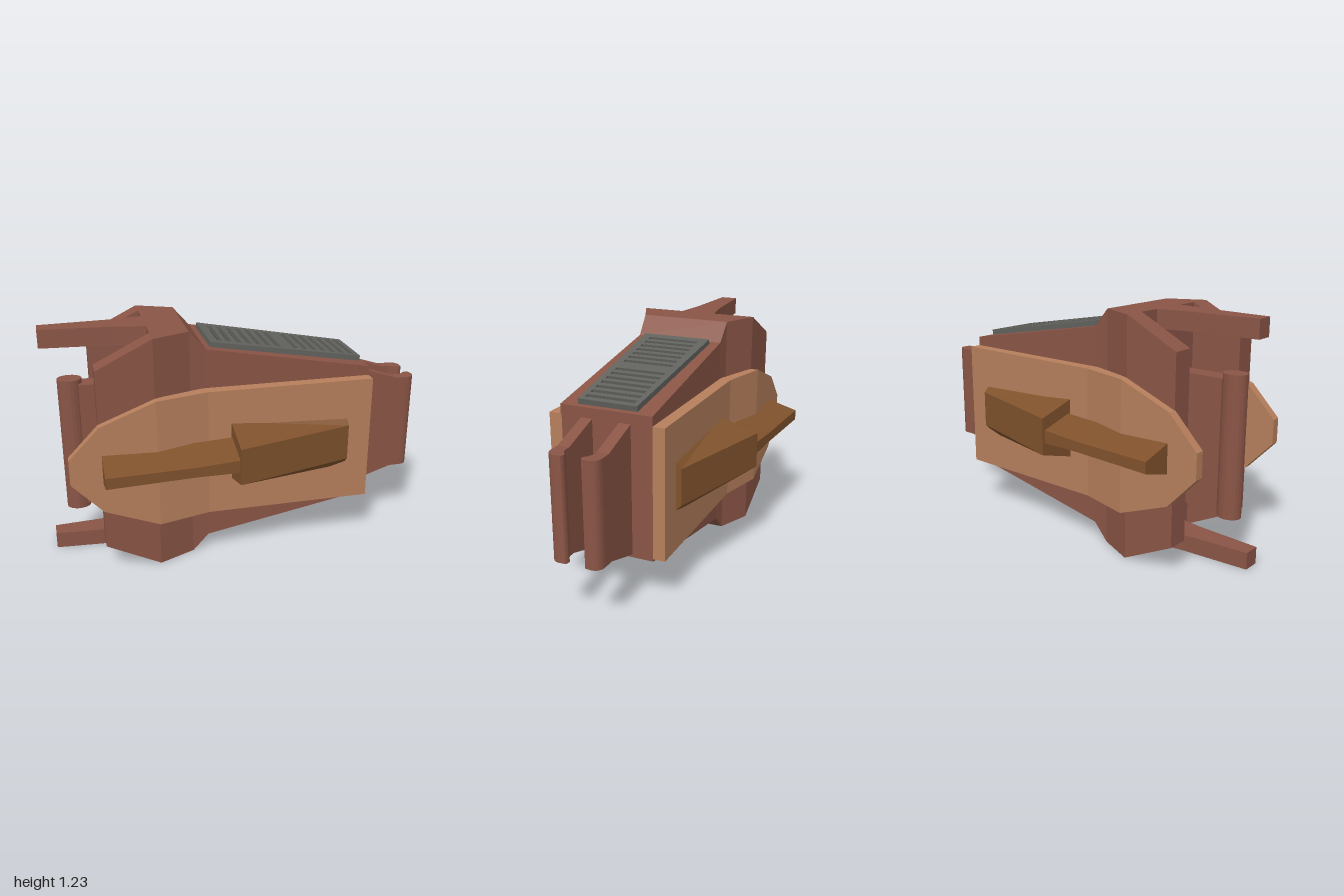
import * as THREE from 'three';

const mat = (color) => new THREE.MeshStandardMaterial({ color, flatShading: true });
const HULL = mat(0x8a5546), PLATE = mat(0xb67f5c), GUN = mat(0x80522c), GRILLE = mat(0x62625e), DARK = mat(0x343432);

// Loft four-cornered sections along +x: [x, y0, y1, z0, z1, inset of y at z1]
function loft(sections) {
  const rings = sections.map(([x, y0, y1, z0, z1, inset = 0]) => [
    [x, y0, z0], [x, y1, z0], [x, y1 - inset, z1], [x, y0 + inset, z1],
  ]);
  const pos = [];
  const quad = (a, b, c, d) => pos.push(...a, ...b, ...c, ...a, ...c, ...d);
  for (let i = 0; i < rings.length - 1; i++) {
    const a = rings[i], b = rings[i + 1];
    for (let k = 0; k < 4; k++) {
      const n = (k + 1) % 4;
      quad(a[k], a[n], b[n], b[k]);
    }
  }
  const s = rings[0], e = rings[rings.length - 1];
  quad(s[0], s[3], s[2], s[1]);
  quad(e[0], e[1], e[2], e[3]);
  const g = new THREE.BufferGeometry();
  g.setAttribute('position', new THREE.Float32BufferAttribute(pos, 3));
  g.computeVertexNormals();
  return g;
}

function add(parent, name, geometry, material) {
  const m = new THREE.Mesh(geometry, material);
  m.name = name;
  parent.add(m);
  return m;
}

// Parts found on both sides, modelled for +z
function buildSide(name) {
  const side = new THREE.Group();
  side.name = name;

  add(side, 'rearCheek', loft([
    [-0.75, 0.14, 1.09, 0.22, 0.33],
    [-0.47, 0, 1.23, 0.22, 0.33],
  ]), HULL);

  add(side, 'sidePlate', loft([
    [-0.905, 0.53, 0.66, 0.325, 0.372],
    [-0.75, 0.365, 0.82, 0.325, 0.372],
    [-0.47, 0.256, 0.93, 0.325, 0.372],
    [-0.2, 0.256, 0.93, 0.235, 0.302],
    [0.675, 0.256, 0.93, 0.235, 0.302],
  ]), PLATE);

  add(side, 'gunHousing', loft([
    [-0.08, 0.44, 0.755, 0.29, 0.505, 0.062],
    [0.545, 0.44, 0.75, 0.27, 0.33, 0.06],
  ]), GUN);
  add(side, 'gunBarrel', loft([
    [-0.745, 0.515, 0.682, 0.34, 0.535, 0.055],
    [-0.3, 0.52, 0.672, 0.325, 0.505, 0.05],
    [-0.07, 0.512, 0.68, 0.315, 0.49, 0.05],
  ]), GUN);

  // Front arm ending in a rounded inward hook
  add(side, 'frontArm', loft([
    [0.6, 0.235, 0.95, 0.07, 0.13],
    [0.675, 0.258, 0.926, 0.07, 0.13],
    [0.89, 0.328, 0.858, 0.07, 0.13],
  ]), HULL);
  const hook = new THREE.Shape();
  hook.moveTo(0.89, 0.07);
  hook.lineTo(0.92, 0.07);
  hook.quadraticCurveTo(0.945, 0.068, 0.955, 0.055);
  hook.quadraticCurveTo(0.975, 0.035, 0.997, 0.052);
  hook.lineTo(1.0, 0.085);
  hook.quadraticCurveTo(0.995, 0.128, 0.95, 0.13);
  hook.lineTo(0.89, 0.13);
  const hookGeo = new THREE.ExtrudeGeometry(hook, { depth: 0.53, bevelEnabled: false, curveSegments: 8 });
  hookGeo.rotateX(Math.PI / 2);
  add(side, 'armHook', hookGeo, HULL).position.y = 0.858;
  return side;
}

// Slotted grille lying on the sloping roof
function buildGrille() {
  const grille = new THREE.Group();
  grille.name = 'roofGrille';
  const frame = new THREE.Shape([[-0.415, -0.188], [0.415, -0.155], [0.415, 0.155], [-0.415, 0.188]]
    .map(([x, y]) => new THREE.Vector2(x, y)));
  for (const start of [-0.37, 0.045]) {
    for (let i = 0; i < 7; i++) {
      const x = start + i * 0.0525, w = 0.026, h = 0.14 - (x + 0.4) * 0.012;
      frame.holes.push(new THREE.Path([[x, -h], [x, h], [x + w, h], [x + w, -h]]
        .map(([u, v]) => new THREE.Vector2(u, v))));
    }
  }
  const geo = new THREE.ExtrudeGeometry(frame, { depth: 0.028, bevelEnabled: false });
  geo.rotateX(-Math.PI / 2);
  add(grille, 'grilleFrame', geo, GRILLE);
  add(grille, 'grilleBacking', new THREE.BoxGeometry(0.78, 0.006, 0.29), DARK).position.y = 0.003;
  grille.position.set(0.243, 1.054, 0);
  grille.rotation.z = -Math.atan2(0.152, 0.87);
  return grille;
}

export function createModel() {
  const model = new THREE.Group();
  model.name = 'pod';

  // Main hull, narrowing towards +x
  add(model, 'hull', loft([
    [-0.47, 0, 1.23, -0.33, 0.33],
    [-0.28, 0, 1.23, -0.245, 0.245],
    [-0.195, 0.088, 1.132, -0.24, 0.24],
    [0.675, 0.243, 0.978, -0.24, 0.24],
  ]), HULL);

  // Tapered spikes at top and bottom of the open rear
  for (const [name, y0, y1] of [['upperSpike', 1.135, 1.23], ['lowerSpike', 0, 0.088]]) {
    add(model, name, loft([
      [-1, y0, y1, -0.045, 0.045],
      [-0.64, y0, y1, -0.07, 0.07],
      [-0.46, y0, y1, -0.1, 0.1],
    ]), HULL);
  }

  // Rear fin carrying a rounded upright post
  add(model, 'rearFin', loft([
    [-0.82, 0.256, 0.93, -0.05, 0.05],
    [-0.46, 0.256, 0.93, -0.05, 0.05],
  ]), HULL);
  const post = add(model, 'rearPost', new THREE.CylinderGeometry(0.0625, 0.0625, 0.725, 20), HULL);
  post.position.set(-0.8625, 0.5925, 0);
  post.scale.z = 0.85;

  const left = buildSide('nearSide'), right = buildSide('farSide');
  right.scale.z = -1;
  model.add(left, right, buildGrille());
  return model;
}
